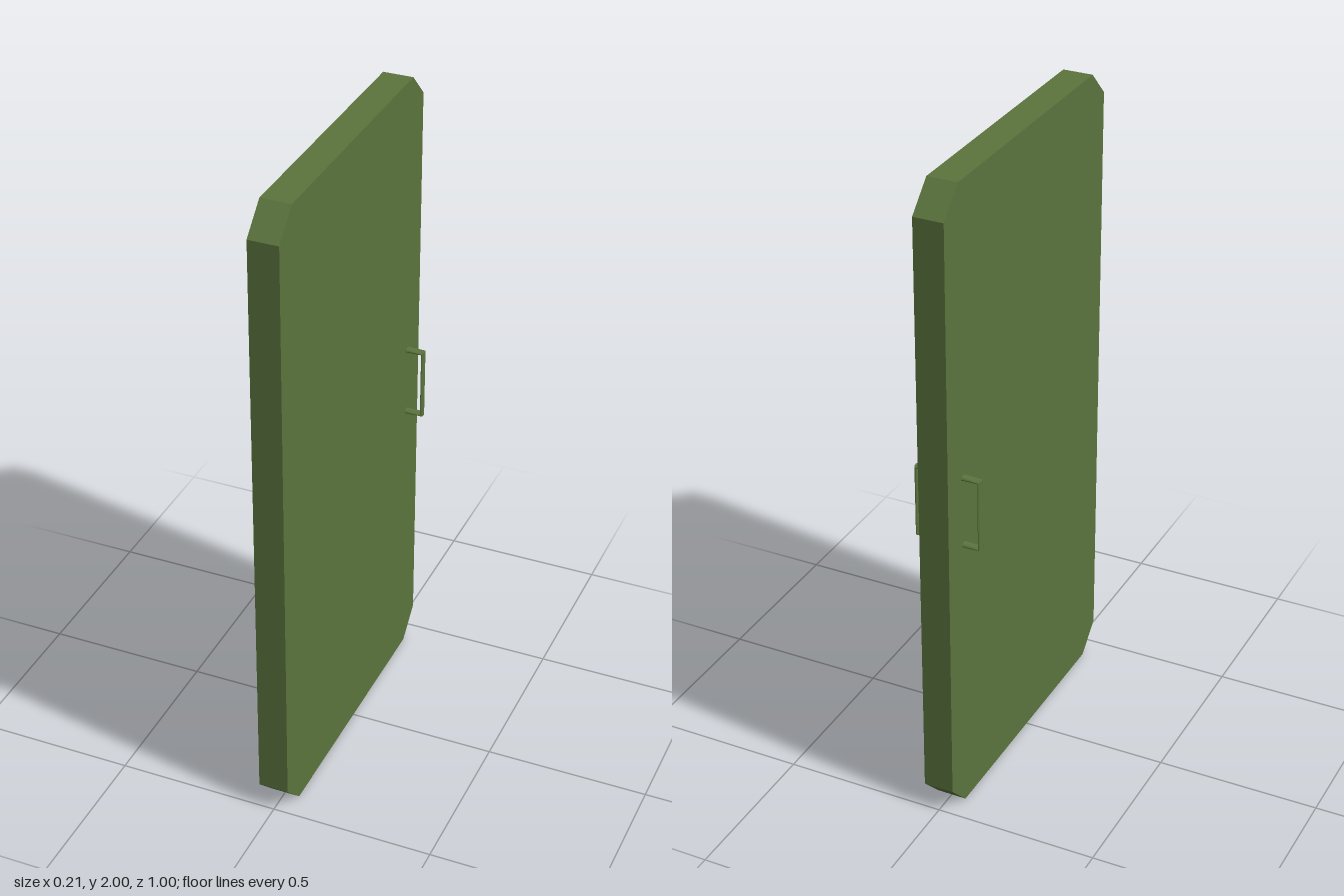
import * as THREE from 'three';
import { toCreasedNormals } from 'three/addons/utils/BufferGeometryUtils.js';

// Bent pull handle: an open tube whose rings are moved onto a mitred U path
function handleGeometry() {
  const t = 0.005, w = 0.0135, x = 0.098, top = 1.11, bottom = 0.893;
  // centre x, centre y, thickness direction x, thickness direction y
  const rings = [
    [0.04, top, 0, 1.5],
    [x, top, 1, 1],
    [x, bottom, 1, -1],
    [0.04, bottom, 0, -1.5],
  ];
  const geo = new THREE.CylinderGeometry(1, 1, 3, 12, 3, true);
  const p = geo.attributes.position;
  for (let i = 0; i < p.count; i++) {
    const [cx, cy, dx, dy] = rings[Math.round(1.5 - p.getY(i))];
    const u = p.getX(i) * t;
    p.setXYZ(i, cx + u * dx, cy + u * dy, p.getZ(i) * w);
  }
  return toCreasedNormals(geo, 0.8);
}

export function createModel() {
  const group = new THREE.Group();
  const material = new THREE.MeshStandardMaterial({ color: 0x5b743d });

  // Door slab with chamfered corners, extruded across its thickness
  const H = 2, W = 0.5, c = 0.082, depth = 0.092;
  const outline = new THREE.Shape([
    [-W + c, 0], [W - c, 0], [W, c], [W, H - c],
    [W - c, H], [-W + c, H], [-W, H - c], [-W, c],
  ].map(([a, b]) => new THREE.Vector2(a, b)));
  const slab = new THREE.ExtrudeGeometry(outline, { depth, bevelEnabled: false });
  slab.translate(0, 0, -depth / 2).rotateY(Math.PI / 2);
  const door = new THREE.Mesh(slab, material);
  door.name = 'doorPanel';
  group.add(door);

  // One handle on each face
  const handle = handleGeometry();
  for (const [name, turn] of [['leftHandle', 0], ['rightHandle', Math.PI]]) {
    const mesh = new THREE.Mesh(handle, material);
    mesh.name = name;
    mesh.position.z = -0.408;
    mesh.rotation.y = turn;
    group.add(mesh);
  }
  return group;
}
